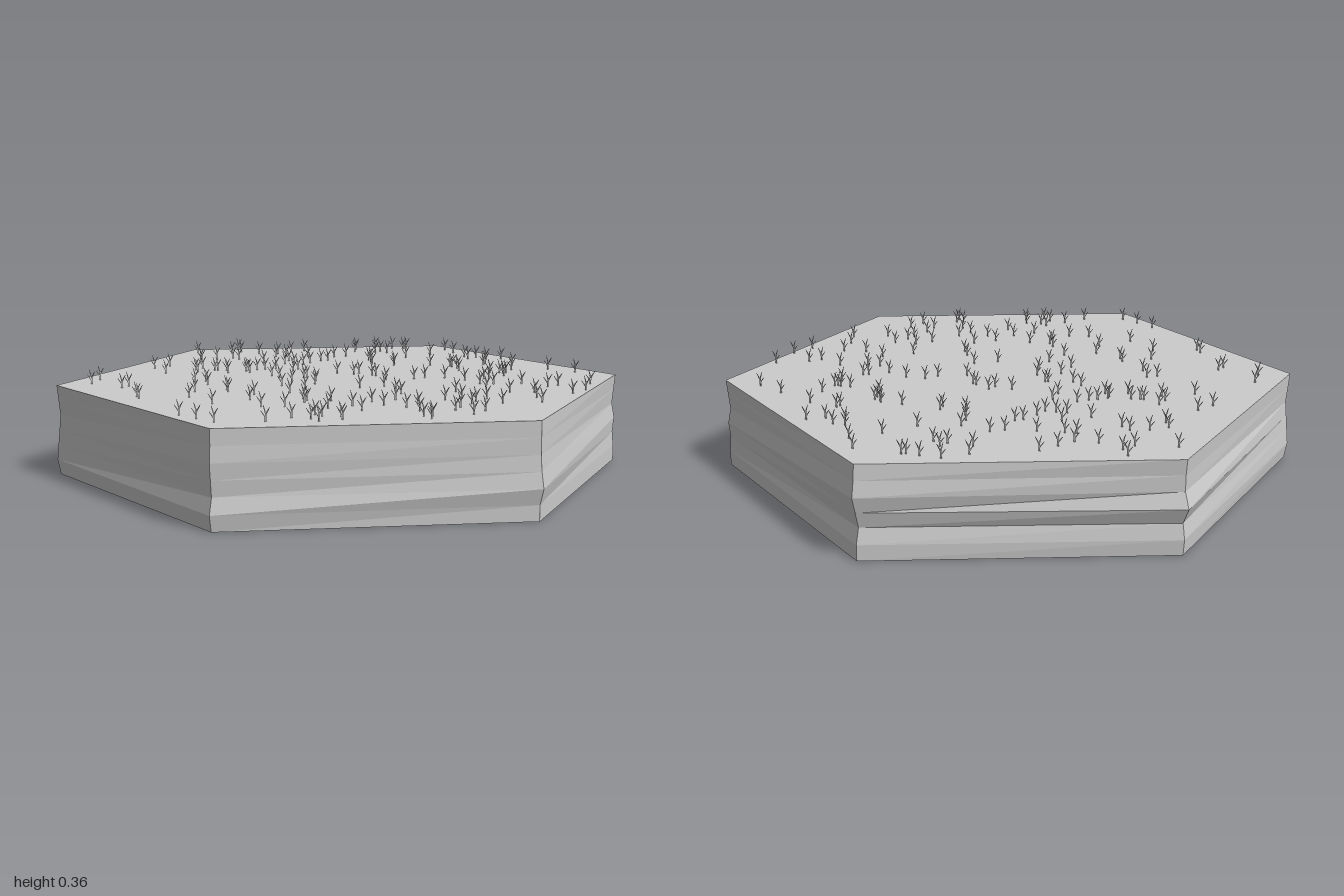
import * as THREE from 'three';
import { mergeGeometries } from 'three/addons/utils/BufferGeometryUtils.js';

const TOP = 0.31;
const LEVELS = 6;
const grey = () => new THREE.MeshStandardMaterial({ color: 0xcccccc, flatShading: true, side: THREE.DoubleSide });

// Corner radius at each height, bottom to top, for the six corners
// (front, front left, back left, back, back right, front right in the model's own x order +x first).
const RADII = [
  [0.99, 1.0, 0.985, 0.99, 0.995, 0.99, 0.99],
  [0.985, 0.985, 1.0, 0.99, 0.985, 0.985, 0.985],
  [0.985, 0.985, 0.98, 0.985, 0.975, 0.98, 0.985],
  [0.985, 0.985, 0.97, 0.985, 1.0, 0.99, 0.985],
  [0.98, 0.985, 0.975, 1.0, 0.98, 0.98, 0.985],
  [0.98, 0.99, 0.985, 0.98, 0.975, 0.98, 0.985],
];

function tileGeometry() {
  const at = (corner, level) => {
    const c = corner % 6, a = c * Math.PI / 3, r = RADII[c][level];
    return [Math.sin(a) * r, TOP * level / LEVELS, Math.cos(a) * r];
  };
  const p = [];
  for (let c = 0; c < 6; c++) {
    // Layered side
    for (let l = 0; l < LEVELS; l++) {
      const a = at(c, l), b = at(c + 1, l), d = at(c, l + 1), e = at(c + 1, l + 1);
      p.push(...a, ...b, ...e, ...a, ...e, ...d);
    }
    // Flat top and bottom
    p.push(0, TOP, 0, ...at(c, LEVELS), ...at(c + 1, LEVELS));
    p.push(0, 0, 0, ...at(c + 1, 0), ...at(c, 0));
  }
  const g = new THREE.BufferGeometry();
  g.setAttribute('position', new THREE.Float32BufferAttribute(p, 3));
  g.computeVertexNormals();
  return g;
}

// Thin tapered three-sided blade between two points
function blade(from, to, r0, r1) {
  const a = new THREE.Vector3(...from), b = new THREE.Vector3(...to);
  const dir = b.clone().sub(a);
  const g = new THREE.CylinderGeometry(r1, r0, dir.length(), 3, 1);
  g.applyQuaternion(new THREE.Quaternion().setFromUnitVectors(new THREE.Vector3(0, 1, 0), dir.normalize()));
  return g.translate((a.x + b.x) / 2, (a.y + b.y) / 2, (a.z + b.z) / 2);
}

function tuftGeometry() {
  return mergeGeometries([
    blade([0, -0.004, 0], [0.001, 0.026, 0], 0.0035, 0.003),
    blade([0.001, 0.024, 0], [-0.006, 0.05, 0.002], 0.003, 0.001),
    blade([0.001, 0.022, 0], [0.014, 0.044, -0.002], 0.003, 0.001),
    blade([0, 0.012, 0], [-0.015, 0.032, 0], 0.0025, 0.001),
  ]);
}

function seeded(seed) {
  return () => (seed = (seed * 16807) % 2147483647) / 2147483647;
}

export function createModel() {
  const model = new THREE.Group();

  const tile = new THREE.Mesh(tileGeometry(), grey());
  tile.name = 'hexagonTile';
  model.add(tile);

  // Tufts scattered over the hexagon, all facing the same way
  const random = seeded(4711), tuft = tuftGeometry(), tufts = [];
  while (tufts.length < 180) {
    const x = (random() * 2 - 1) * 0.84, z = (random() * 2 - 1) * 0.96;
    if (Math.abs(z) + Math.abs(x) / Math.sqrt(3) > 0.95) continue;
    tufts.push(tuft.clone().translate(x, TOP, z));
  }
  const grass = new THREE.Mesh(mergeGeometries(tufts), grey());
  grass.name = 'grassTufts';
  model.add(grass);

  return model;
}
